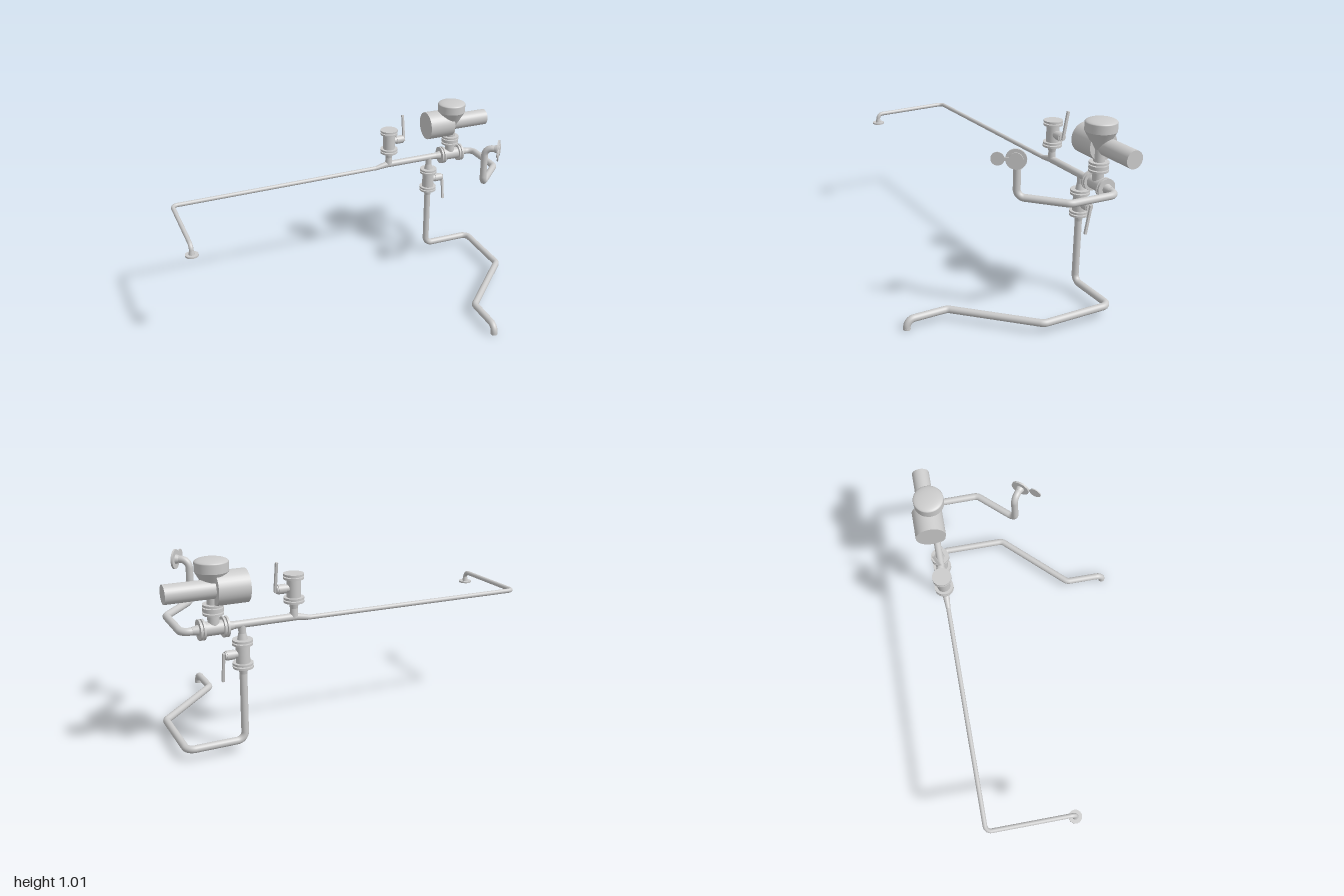
import * as THREE from 'three';

const V = (x, y, z) => new THREE.Vector3(x, y, z);
const mat = new THREE.MeshStandardMaterial({ color: 0xcccccc });
const matDouble = new THREE.MeshStandardMaterial({ color: 0xcccccc, side: THREE.DoubleSide });
const Z = -0.445; // depth of the main run
const R = 0.019; // large pipe radius

// Solid cylinder or cone from a to b
function rod(parent, name, a, b, r0, r1 = r0) {
  const d = b.clone().sub(a);
  const m = new THREE.Mesh(new THREE.CylinderGeometry(r1, r0, d.length(), 32), mat);
  m.position.copy(a).add(b).multiplyScalar(0.5);
  m.quaternion.setFromUnitVectors(V(0, 1, 0), d.normalize());
  m.name = name;
  parent.add(m);
  return m;
}

// Pipe through corner points, each corner rounded to an arc of the given bend radius
function pipe(parent, name, pts, r, bend, segments) {
  const path = new THREE.CurvePath();
  let prev = pts[0];
  for (let i = 1; i < pts.length - 1; i++) {
    const c = pts[i];
    const din = c.clone().sub(pts[i - 1]).normalize();
    const dout = pts[i + 1].clone().sub(c).normalize();
    const angle = din.angleTo(dout);
    const trim = bend * Math.tan(angle / 2);
    const k = (4 / 3) * Math.tan(angle / 4) * bend;
    const a = c.clone().addScaledVector(din, -trim);
    const b = c.clone().addScaledVector(dout, trim);
    path.add(new THREE.LineCurve3(prev, a));
    path.add(new THREE.CubicBezierCurve3(a, a.clone().addScaledVector(din, k), b.clone().addScaledVector(dout, -k), b));
    prev = b;
  }
  path.add(new THREE.LineCurve3(prev, pts[pts.length - 1]));
  path.arcLengthDivisions = 1000;
  const m = new THREE.Mesh(new THREE.TubeGeometry(path, segments, r, 20), matDouble);
  m.name = name;
  parent.add(m);
}

// Two bolted flange discs with a narrow gap, centred at y
function flangePair(parent, y) {
  for (const s of [-1, 1]) rod(parent, 'flange', V(0, y + s * 0.003, 0), V(0, y + s * 0.0135, 0), 0.051);
  rod(parent, 'gasket', V(0, y - 0.004, 0), V(0, y + 0.004, 0), 0.036);
}

// Valve body along local y, flanged at both ends
function valve(name, position, ends = [-1, 1]) {
  const g = new THREE.Group();
  g.name = name;
  g.position.copy(position);
  rod(g, 'valveBody', V(0, -0.06, 0), V(0, 0.06, 0), 0.035);
  for (const s of [-1, 1]) flangePair(g, s * 0.059);
  for (const s of ends) rod(g, 'weldNeck', V(0, s * 0.07, 0), V(0, s * 0.104, 0), 0.026, R);
  return g;
}

// Side stem with a lever hanging down at a slight tilt
function addLever(g) {
  rod(g, 'stem', V(0.02, 0, 0), V(0.092, 0, 0), 0.02);
  rod(g, 'stemHub', V(0.045, 0, 0), V(0.085, 0, 0), 0.024);
  const lever = new THREE.Mesh(new THREE.BoxGeometry(0.012, 0.155, 0.014), mat);
  lever.name = 'lever';
  lever.geometry.translate(0, -0.065, 0);
  lever.position.x = 0.097;
  lever.rotation.x = -0.17;
  g.add(lever);
}

export function createModel() {
  const model = new THREE.Group();
  model.name = 'pipeAssembly';

  // Thin outlet line with its end flange
  pipe(model, 'thinPipe', [V(0.28, 0.657, Z), V(-0.965, 0.646, Z), V(-0.965, 0.638, 0.015), V(-0.965, 0.58, 0.015)], 0.012, 0.03, 400);
  rod(model, 'outletNeck', V(-0.965, 0.582, 0.015), V(-0.965, 0.61, 0.015), 0.017, 0.012);
  rod(model, 'outletFlange', V(-0.965, 0.577, 0.015), V(-0.965, 0.586, 0.015), 0.035);

  // Main header and reducer
  rod(model, 'reducer', V(0.26, 0.656, Z), V(0.335, 0.67, Z), 0.012, R);
  rod(model, 'header', V(0.33, 0.67, Z), V(0.69, 0.671, Z), R);

  // Upper branch valve, blanked on top, lever up
  const upper = valve('upperValve', V(0.347, 0.819, Z), [1]);
  addLever(upper);
  upper.rotation.x = Math.PI;
  model.add(upper);
  rod(model, 'upperBranch', V(0.347, 0.67, Z), V(0.347, 0.72, Z), 0.022, R);

  // Lower branch valve, lever down
  const lower = valve('lowerValve', V(0.617, 0.522, Z));
  addLever(lower);
  model.add(lower);
  rod(model, 'lowerBranch', V(0.617, 0.62, Z), V(0.617, 0.67, Z), R);

  // Drain pipe to the ground
  pipe(model, 'drainPipe', [V(0.617, 0.43, Z), V(0.617, 0.065, Z), V(0.916, 0.063, Z), V(0.916, 0.06, -0.055),
    V(0.566, 0.056, 0.3), V(0.566, 0.053, 0.525), V(0.566, 0, 0.525)], R, 0.042, 400);
  rod(model, 'drainEnd', V(0.566, 0, 0.525), V(0.566, 0.008, 0.525), R);

  // Control valve in line with the header
  const control = valve('controlValve', V(0.762, 0.67, Z));
  control.rotation.z = Math.PI / 2;
  model.add(control);

  // Actuator: bonnet, flange joint, funnel head with domed lid
  const actuator = new THREE.Group();
  actuator.name = 'actuator';
  actuator.position.set(0.758, 0, Z);
  model.add(actuator);
  rod(actuator, 'bonnet', V(0, 0.67, 0), V(0, 0.88, 0), 0.029);
  flangePair(actuator, 0.777);
  flangePair(actuator, 0.752);
  rod(actuator, 'headCone', V(0, 0.855, 0), V(0, 0.95, 0), 0.028, 0.082);
  rod(actuator, 'headRim', V(0, 0.95, 0), V(0, 0.994, 0), 0.082);
  const dome = new THREE.Mesh(new THREE.SphereGeometry(0.082, 32, 8, 0, Math.PI * 2, 0, Math.PI / 2), mat);
  dome.name = 'headDome';
  dome.scale.y = 0.22;
  dome.position.y = 0.994;
  actuator.add(dome);

  // Horizontal drive cylinders
  rod(model, 'largeCylinder', V(0.6, 0.869, -0.467), V(0.758, 0.869, -0.467), 0.082);
  rod(model, 'smallCylinder', V(0.75, 0.869, -0.467), V(1, 0.869, -0.467), 0.047);

  // Inlet pipe rising to a flange
  const normal = V(0.8, 0, 0.6);
  const side = V(-0.6, 0, 0.8);
  const face = V(0.798, 0.893, 0.062);
  pipe(model, 'inletPipe', [V(0.85, 0.669, Z), V(0.916, 0.668, Z), V(0.916, 0.671, -0.175), V(0.733, 0.676, 0.013),
    V(0.733, 0.893, 0.013), face], R, 0.042, 350);

  // Inlet flange with a figure-eight blanking plate
  const plate = new THREE.Group();
  plate.name = 'blankingPlate';
  model.add(plate);
  const at = (along, across) => face.clone().addScaledVector(normal, along).addScaledVector(side, across);
  rod(plate, 'inletNeck', at(-0.03, 0), at(-0.008, 0), R, 0.026);
  rod(plate, 'inletFlange', at(-0.012, 0), at(-0.002, 0), 0.051);
  rod(plate, 'plateRing', at(-0.002, 0), at(0.004, 0), 0.034);
  rod(plate, 'plateBlank', at(-0.002, 0.086), at(0.004, 0.086), 0.033);
  const web = new THREE.Mesh(new THREE.BoxGeometry(0.06, 0.018, 0.006), mat);
  web.name = 'plateWeb';
  web.position.copy(at(0.001, 0.042));
  web.rotation.y = Math.atan2(normal.x, normal.z);
  plate.add(web);

  return model;
}
